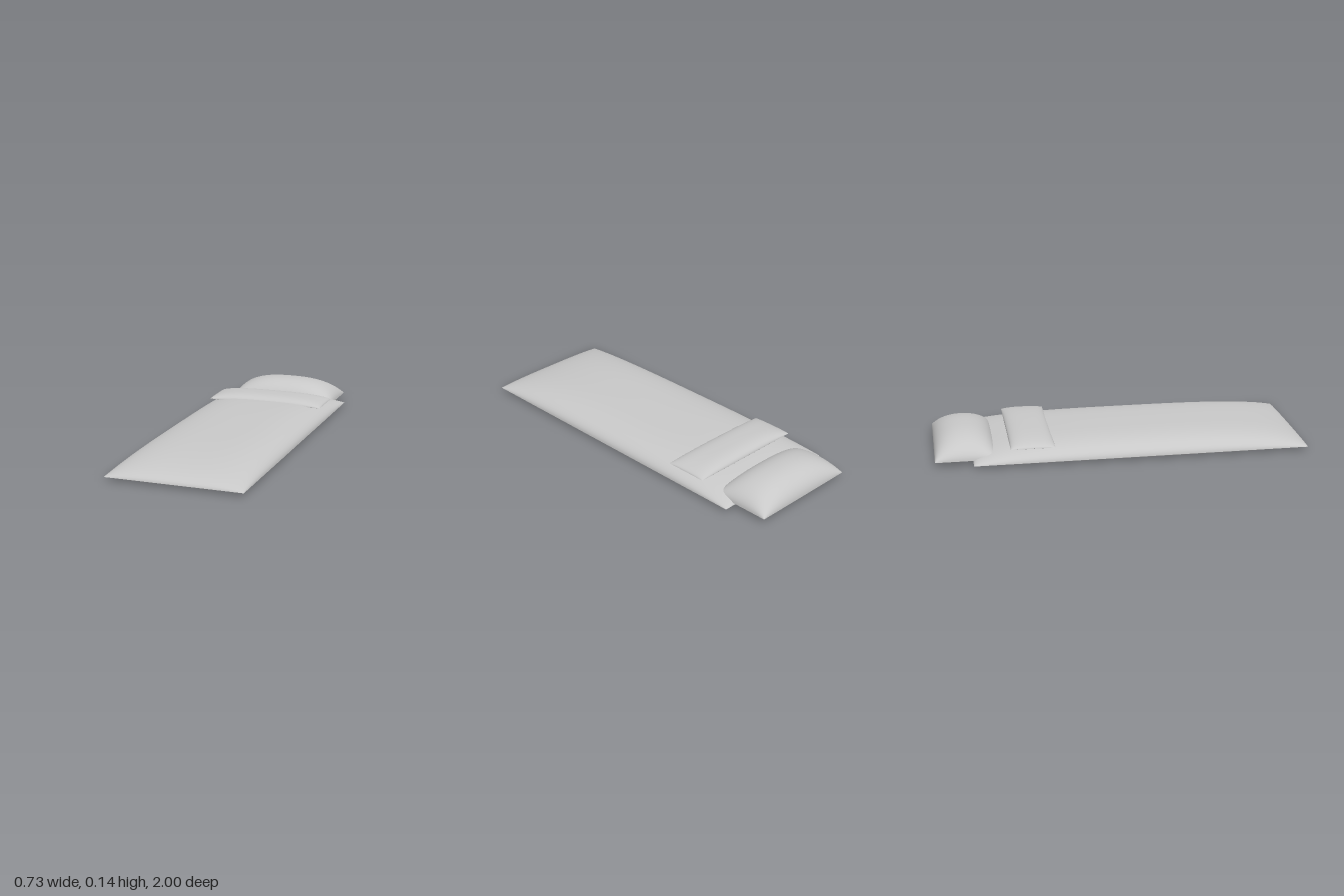
import * as THREE from 'three';

// Half of a stuffed cushion: a flat sheet puffed up (dir 1) or down (dir -1) from its seam
function puff(dir, { halfX, zMin, zMax, seam, height, depth, powX, powZ }) {
  const geo = new THREE.PlaneGeometry(2, 2, 40, 48);
  geo.rotateX(-dir * Math.PI / 2);
  const pos = geo.attributes.position;
  const round = (t, p) => Math.sqrt(Math.max(0, 1 - Math.pow(Math.abs(t), p)));
  const amount = dir > 0 ? height : -depth;
  for (let i = 0; i < pos.count; i++) {
    // Sine spacing puts more rows near the rounded edges
    const u = Math.sin(pos.getX(i) * Math.PI / 2);
    const v = Math.sin(pos.getZ(i) * Math.PI / 2);
    pos.setXYZ(
      i,
      u * halfX,
      seam + amount * round(u, powX) * round(v, powZ),
      (zMin + zMax) / 2 + v * (zMax - zMin) / 2
    );
  }
  geo.computeVertexNormals();
  return geo;
}

function cushion(name, material, options) {
  const group = new THREE.Group();
  group.name = name;
  for (const [side, dir] of [['Top', 1], ['Underside', -1]]) {
    const mesh = new THREE.Mesh(puff(dir, options), material);
    mesh.name = name + side;
    group.add(mesh);
  }
  return group;
}

export function createModel() {
  const model = new THREE.Group();
  model.name = 'sleepingBag';
  const fabric = new THREE.MeshStandardMaterial({ color: 0xc8c8c8 });
  fabric.name = 'grey fabric';

  // Long padded body
  model.add(cushion('bagBody', fabric, {
    halfX: 0.367, zMin: -0.8, zMax: 1, seam: 0.019, height: 0.089, depth: 0.019, powX: 3.5, powZ: 3.2,
  }));

  // Turned-down cover across the body
  model.add(cushion('foldedCover', fabric, {
    halfX: 0.336, zMin: -0.605, zMax: -0.37, seam: 0.087, height: 0.039, depth: 0.008, powX: 3, powZ: 3,
  }));

  // Pillow, its front edge sunk into the body
  model.add(cushion('pillow', fabric, {
    halfX: 0.308, zMin: -1, zMax: -0.675, seam: 0.028, height: 0.115, depth: 0.014, powX: 2.5, powZ: 2.2,
  }));

  return model;
}
